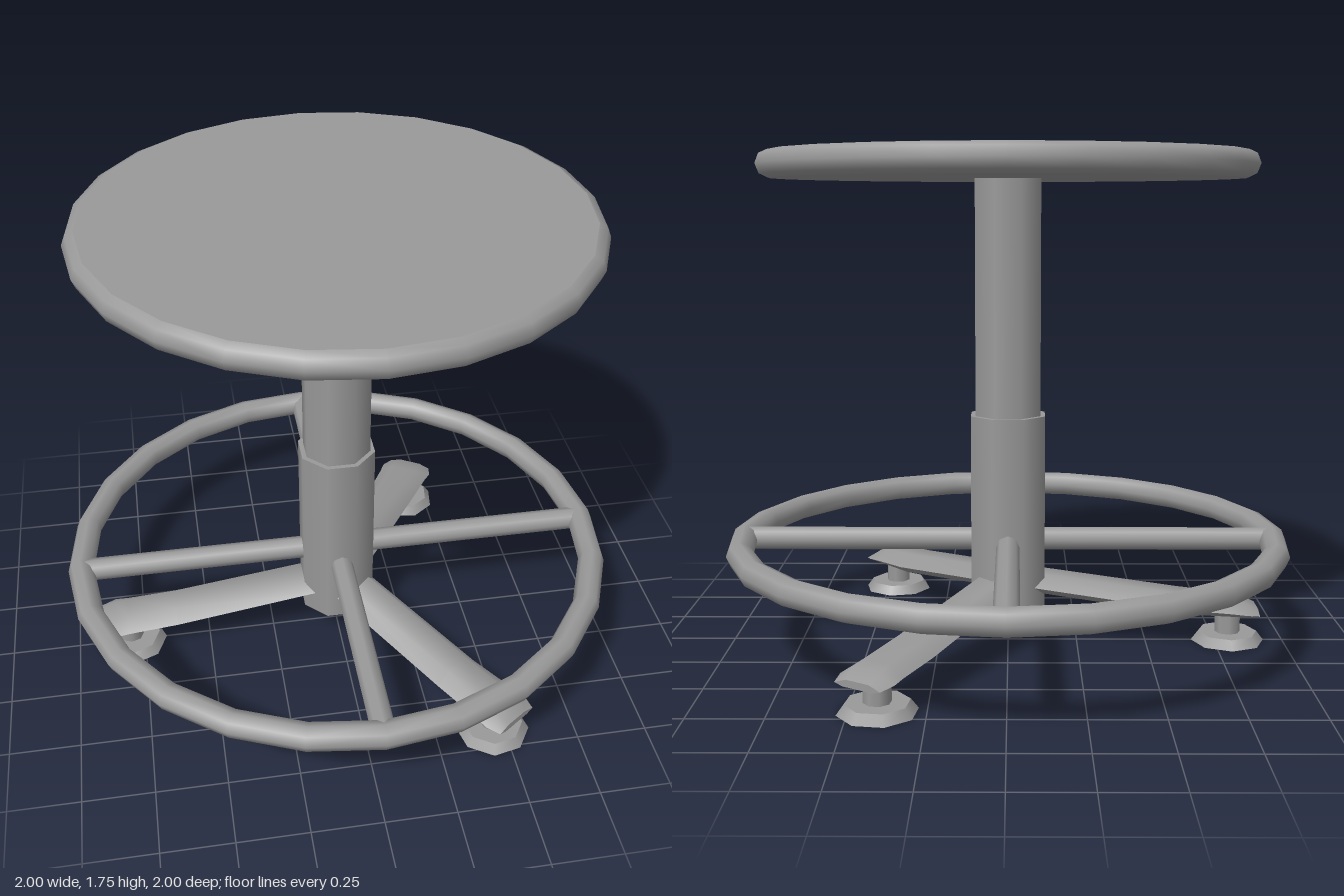
import * as THREE from 'three';
import { toCreasedNormals } from 'three/addons/utils/BufferGeometryUtils.js';

const material = new THREE.MeshStandardMaterial({ color: 0x999999 });

function add(parent, name, geometry, x = 0, y = 0, z = 0) {
  const mesh = new THREE.Mesh(geometry, material);
  mesh.name = name;
  mesh.position.set(x, y, z);
  parent.add(mesh);
  return mesh;
}

// Upright eight-sided post with flats facing the axes
function post(radius, bottom, top) {
  const g = new THREE.CylinderGeometry(radius, radius, top - bottom, 8);
  return g.rotateY(Math.PI / 8).translate(0, (top + bottom) / 2, 0);
}

// Six-sided bar lofted along +x; each section is [x, top, bottom, half width]
function legGeometry(sections) {
  const positions = [], index = [], n = 6;
  for (const [x, top, bottom, w] of sections) {
    const mid = bottom + (top - bottom) * 0.35;
    const ring = [[top, w * 0.5], [mid, w], [bottom, w * 0.65],
      [bottom, -w * 0.65], [mid, -w], [top, -w * 0.5]];
    for (const [y, z] of ring) positions.push(x, y, z);
  }
  const last = (sections.length - 1) * n;
  for (let s = 0; s < last; s += n) {
    for (let i = 0; i < n; i++) {
      const j = (i + 1) % n;
      index.push(s + i, s + n + j, s + n + i, s + i, s + j, s + n + j);
    }
  }
  for (let i = 1; i < n - 1; i++) {
    index.push(0, i + 1, i, last, last + i, last + i + 1);
  }
  const g = new THREE.BufferGeometry();
  g.setAttribute('position', new THREE.Float32BufferAttribute(positions, 3));
  g.setIndex(index);
  return toCreasedNormals(g, 1);
}

export function createModel() {
  const stool = new THREE.Group();
  stool.name = 'stool';

  // Round seat: smooth rim closed by two flat discs
  const seat = new THREE.Group();
  seat.name = 'seat';
  stool.add(seat);
  const profile = [[0.825, 1.663], [0.852, 1.676], [0.865, 1.709],
    [0.852, 1.742], [0.825, 1.755]].map(([r, y]) => new THREE.Vector2(r, y));
  add(seat, 'seatRim', new THREE.LatheGeometry(profile, 24));
  const disc = new THREE.CircleGeometry(0.825, 24);
  add(seat, 'seatTop', disc, 0, 1.755, 0).rotation.x = -Math.PI / 2;
  add(seat, 'seatUnderside', disc, 0, 1.663, 0).rotation.x = Math.PI / 2;

  // Telescoping column
  add(stool, 'upperColumn', post(0.124, 0.7, 1.67));
  add(stool, 'lowerColumn', post(0.142, 0.133, 0.835));

  // Foot ring and its four spokes
  const footRest = new THREE.Group();
  footRest.name = 'footRest';
  footRest.position.y = 0.38;
  stool.add(footRest);
  add(footRest, 'footRing', new THREE.TorusGeometry(0.953, 0.047, 8, 24).rotateX(Math.PI / 2));
  const spoke = new THREE.CylinderGeometry(0.041, 0.041, 0.86, 8)
    .rotateZ(Math.PI / 2).translate(0.52, 0, 0);
  for (let i = 0; i < 4; i++) {
    add(footRest, 'spoke', spoke).rotation.y = i * Math.PI / 2;
  }

  // Three sloping legs, each on a levelling foot
  const leg = legGeometry([[0.08, 0.265, 0.198, 0.09], [0.62, 0.187, 0.115, 0.094],
    [0.8, 0.165, 0.107, 0.1], [0.85, 0.155, 0.106, 0.105], [0.903, 0.13, 0.106, 0.088]]);
  const stem = new THREE.CylinderGeometry(0.046, 0.046, 0.1, 8);
  const pad = new THREE.CylinderGeometry(0.107, 0.132, 0.033, 8);
  for (const degrees of [180, 59.5, -55]) {
    const group = new THREE.Group();
    group.name = 'leg';
    group.rotation.y = THREE.MathUtils.degToRad(degrees);
    add(group, 'legBar', leg);
    add(group, 'footStem', stem, 0.8, 0.075, 0);
    add(group, 'footPad', pad, 0.8, 0.0165, 0);
    stool.add(group);
  }
  return stool;
}
